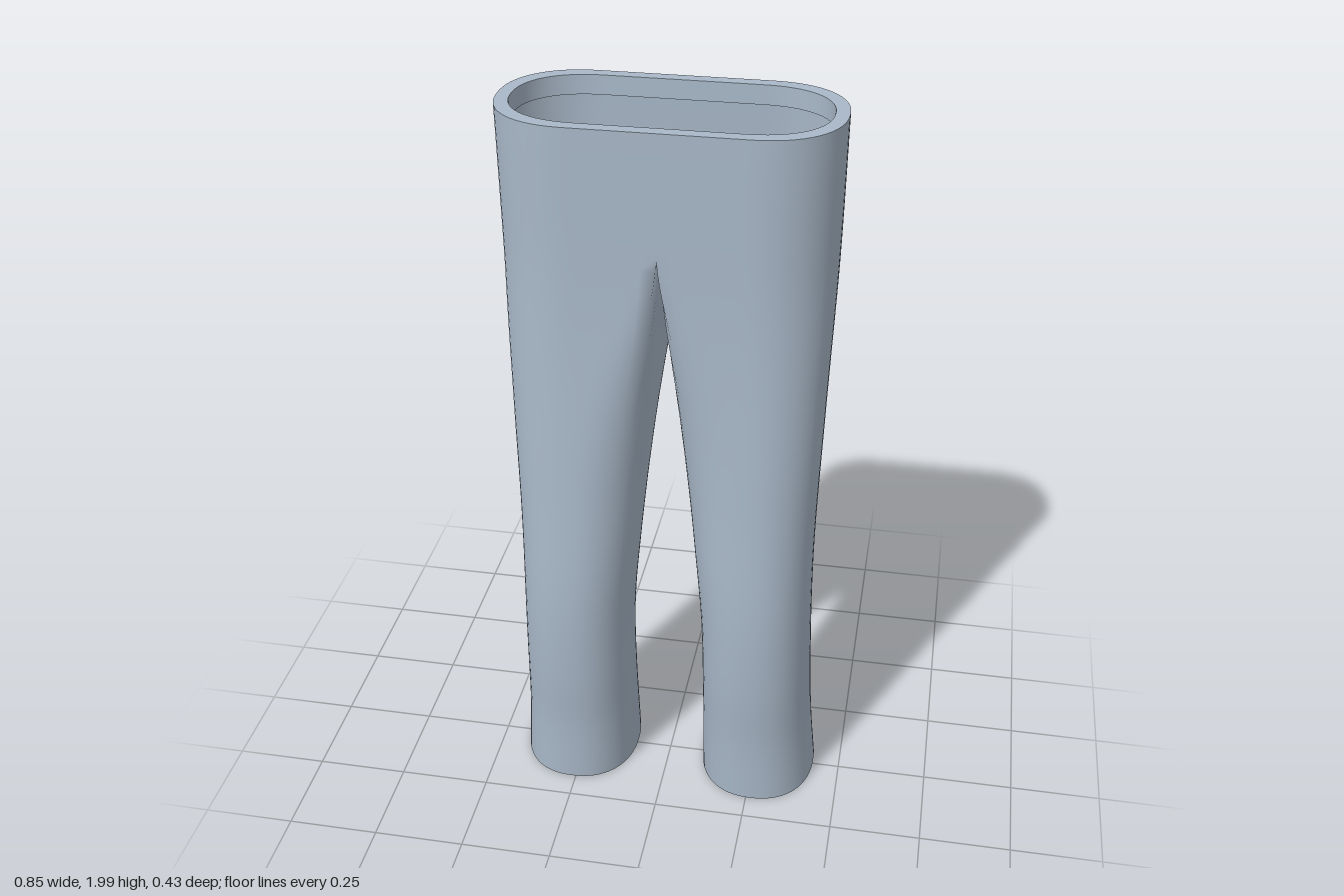
import * as THREE from 'three';
import { mergeVertices, toCreasedNormals } from 'three/addons/utils/BufferGeometryUtils.js';

// Smooth curve through (height, value) pairs
function profile(pairs) {
  const f = new THREE.CubicInterpolant(pairs.map(p => p[0]), pairs.map(p => p[1]), 1);
  return y => f.evaluate(Math.min(Math.max(y, 0), 2))[0];
}
const frontZ = profile([[0, 0.175], [0.2, 0.187], [0.4, 0.208], [0.65, 0.22], [1, 0.21], [1.5, 0.195], [2, 0.2]]);
const backZ = profile([[0, -0.212], [0.2, -0.175], [0.4, -0.146], [0.6, -0.133], [1, -0.132], [1.2, -0.14],
  [1.4, -0.16], [1.5, -0.18], [1.6, -0.203], [1.8, -0.208], [2, -0.2]]);
const outerX = profile([[0, 0.425], [0.2, 0.41], [0.4, 0.402], [0.8, 0.395], [1.2, 0.404], [1.6, 0.415], [2, 0.42]]);
const innerX = profile([[0, 0.1], [0.3, 0.102], [0.55, 0.098], [0.8, 0.077], [1.1, 0.047], [1.4, 0.018], [1.58, 0], [2, 0]]);

const COLS = 64, LEG_ROWS = 48, HIP_ROWS = 12, BOTTOM = 0.008, TOP = 2;

// Section outline in a -1..1 square; the inner side squares off as v reaches the crotch
function outline(i, v) {
  const t = (i / COLS) * Math.PI * 2, c = Math.cos(t), s = Math.sin(t);
  let inv = 1 / 2.25;
  if (c < 0) inv *= 1 - Math.pow(THREE.MathUtils.smoothstep(v, 0.5, 1), 1.6);
  const ac = Math.abs(c), as = Math.abs(s), m = Math.max(ac, as);
  const r = inv < 1e-3 ? 1 / m : 1 / (m * Math.pow((ac / m) ** (1 / inv) + (as / m) ** (1 / inv), inv));
  return [c * r, s * r];
}

// The crotch line slopes from high at the front to low at the back
const crotchY = s => 1.57 + 0.08 * s + 0.04 * s * s;

function place([px, pz], y, xIn, inset = 0) {
  const xo = outerX(y) - inset, zf = frontZ(y) - inset, zb = backZ(y) + inset;
  return [(xIn + xo) / 2 + px * (xo - xIn) / 2, y, (zf + zb) / 2 + pz * (zf - zb) / 2];
}

function legPoint(i, j) {
  const v = j / LEG_ROWS, o = outline(i, v);
  const y = THREE.MathUtils.lerp(BOTTOM, crotchY(o[1]), v);
  return place(o, y, j === LEG_ROWS ? 0 : Math.max(0, innerX(v * 1.58)));
}

function hipPoint(i, j) {
  const o = outline(i, 1);
  return place(o, THREE.MathUtils.lerp(crotchY(o[1]), TOP, j / HIP_ROWS), 0);
}

// Waist edge: flat band turned inward, then a short lip down
function rimPoint(i, j) {
  const p = place(outline(i, 1), TOP, 0, j === 0 ? 0 : 0.034);
  p[1] = j === 2 ? TOP - 0.05 : TOP;
  return p;
}

// Adds a grid of quads and its mirror image to a triangle list
function addGrid(out, point, i0, i1, rows) {
  for (let j = 0; j < rows; j++) for (let i = i0; i < i1; i++) {
    const a = point(i, j), b = point(i + 1, j), c = point(i + 1, j + 1), d = point(i, j + 1);
    const flip = p => [-p[0], p[1], p[2]];
    out.push(a, d, c, a, c, b);
    out.push(...[a, c, d, a, b, c].map(flip));
  }
}

function toGeometry(points) {
  const g = new THREE.BufferGeometry();
  g.setAttribute('position', new THREE.Float32BufferAttribute(points.flat(), 3));
  return g;
}

export function createModel() {
  const group = new THREE.Group();
  group.name = 'trousers';
  const cloth = new THREE.MeshStandardMaterial({ color: 0xa9b8c8, side: THREE.DoubleSide });
  cloth.name = 'blue grey cloth';

  // Legs and hips share one smooth surface
  const body = [];
  addGrid(body, legPoint, 0, COLS, LEG_ROWS);
  const start = COLS * 5 / 8, end = COLS * 11 / 8;
  addGrid(body, hipPoint, start, end, HIP_ROWS);
  const bodyGeometry = mergeVertices(toGeometry(body), 1e-4);
  bodyGeometry.computeVertexNormals();
  const bodyMesh = new THREE.Mesh(bodyGeometry, cloth);
  bodyMesh.name = 'legsAndHips';
  group.add(bodyMesh);

  // Thick waist edge
  const rim = [];
  addGrid(rim, rimPoint, start, end, 2);
  const rimMesh = new THREE.Mesh(toCreasedNormals(toGeometry(rim), 0.6), cloth);
  rimMesh.name = 'waistRim';
  group.add(rimMesh);
  return group;
}
